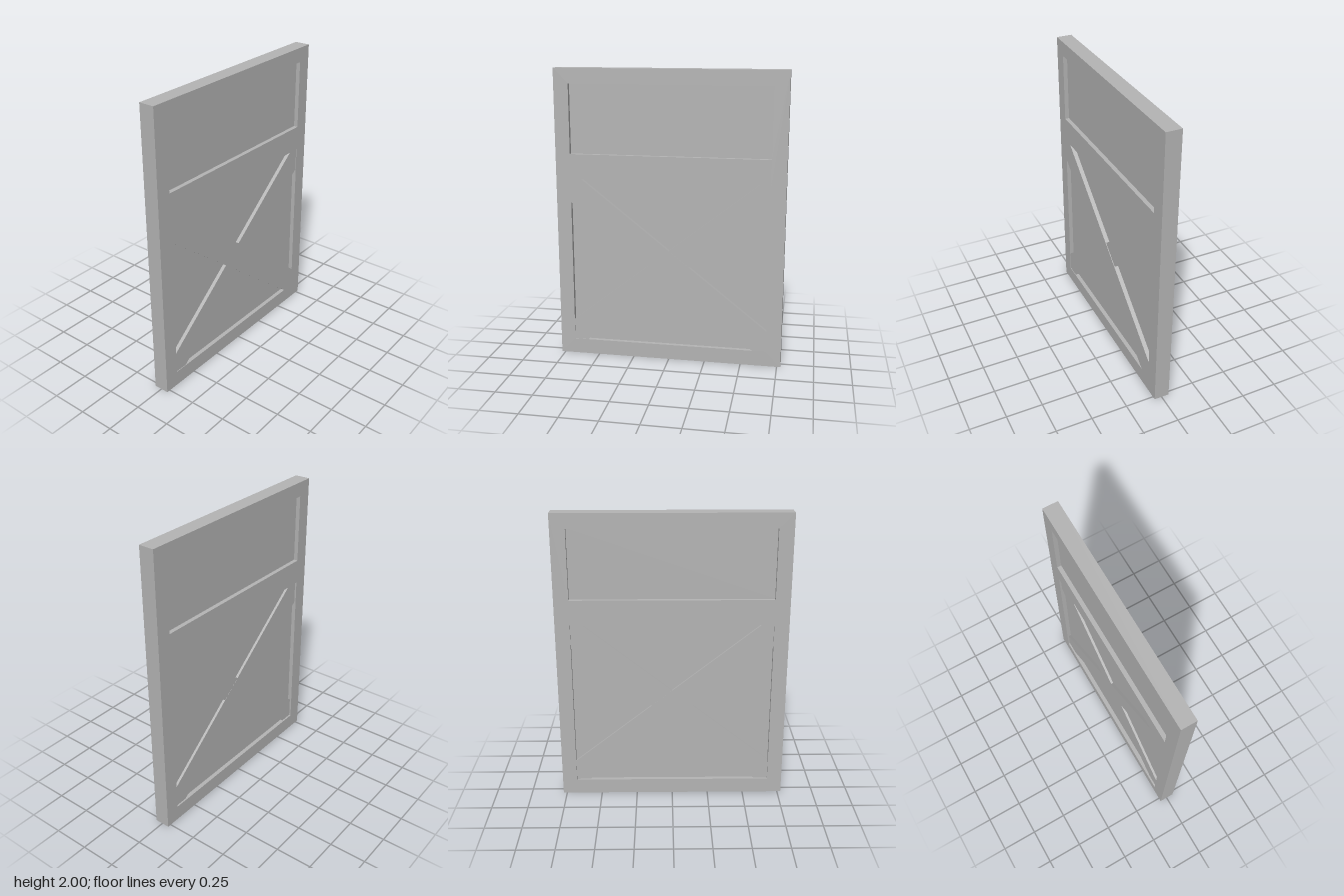
import * as THREE from 'three';

const W = 0.775, H = 2, D = 0.105;          // half width, height, thickness
const IN = 0.675;                           // half width of the openings
const SILL = 0.105, RAIL_LOW = 1.26, RAIL_HIGH = 1.43, HEAD = 1.9;

const points = (list) => list.map(([x, y]) => new THREE.Vector2(x, y));
const rect = (x, y0, y1) => points([[-x, y0], [x, y0], [x, y1], [-x, y1]]);

export function createModel() {
  const group = new THREE.Group();
  const grey = new THREE.MeshStandardMaterial({ color: 0xb4b4b4 });
  grey.name = 'grey paint';

  // Extrudes an outline between two depths
  const slab = (name, shape, back, front) => {
    const geometry = new THREE.ExtrudeGeometry(shape, { depth: front - back, bevelEnabled: false });
    geometry.translate(0, 0, back);
    const mesh = new THREE.Mesh(geometry, grey);
    mesh.name = name;
    group.add(mesh);
  };

  // Stiles and rails with an upper and a lower opening
  const frame = new THREE.Shape(rect(W, 0, H));
  frame.holes.push(new THREE.Path(rect(IN, SILL, RAIL_LOW)));
  frame.holes.push(new THREE.Path(rect(IN, RAIL_HIGH, HEAD)));
  slab('frame', frame, -D / 2, D / 2);

  // Recessed infill panels
  slab('upperPanel', new THREE.Shape(rect(IN, RAIL_HIGH, HEAD)), -0.0235, 0.0235);
  slab('lowerPanel', new THREE.Shape(rect(IN, SILL, RAIL_LOW)), -0.0235, 0.0235);

  // Crossed braces, clipped to the lower opening; one sits slightly behind the other
  const brace = (side) => new THREE.Shape(points([
    [-IN, RAIL_LOW], [-IN, 1.1], [0.58, SILL], [IN, SILL], [IN, 0.25], [-0.6, RAIL_LOW],
  ].map(([x, y]) => [x * side, y])));
  slab('fallingBrace', brace(1), -0.041, D / 2);
  slab('risingBrace', brace(-1), -0.04, D / 2 - 0.004);

  return group;
}
